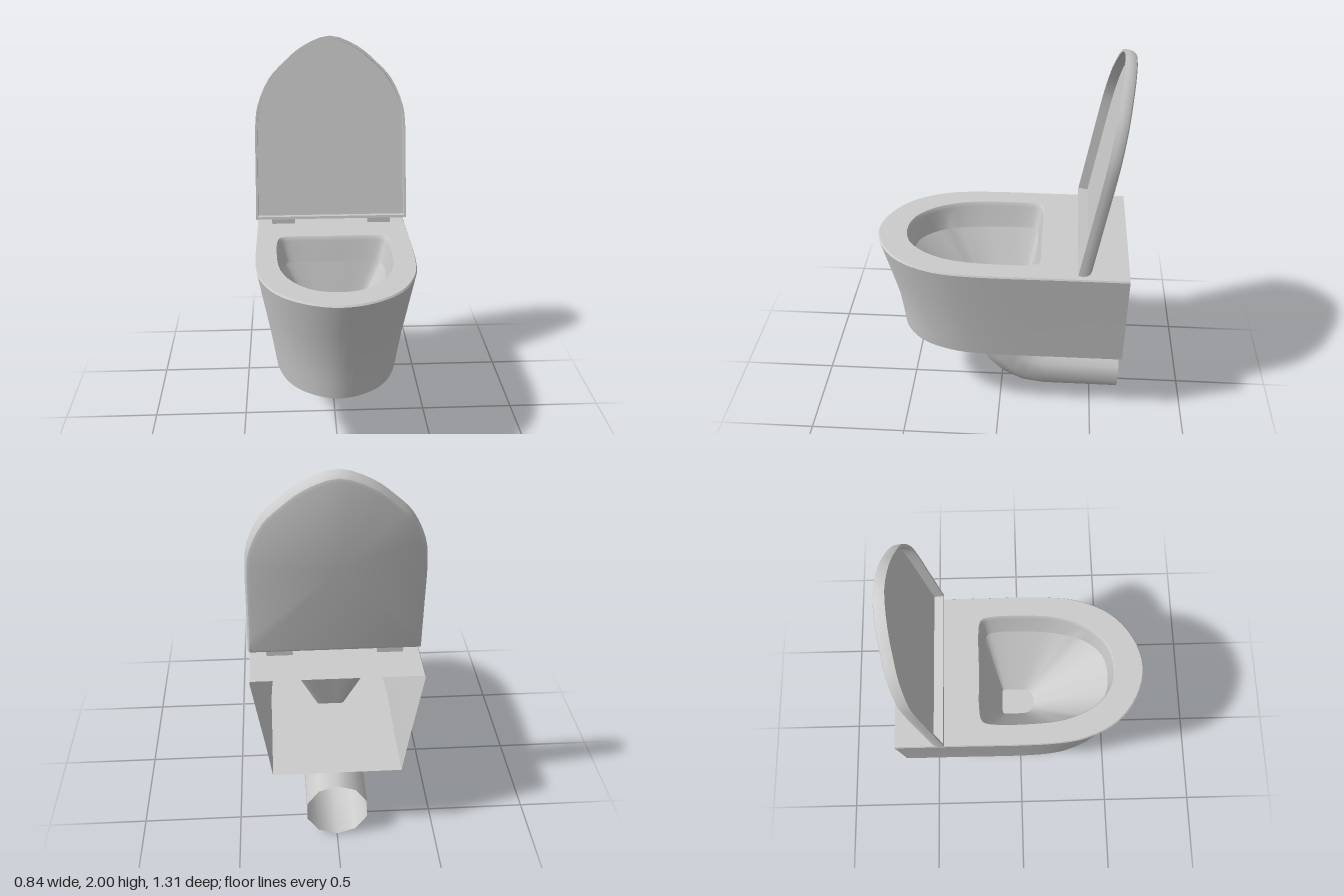
import * as THREE from 'three';
import { toCreasedNormals } from 'three/addons/utils/BufferGeometryUtils.js';

const material = new THREE.MeshStandardMaterial({ color: 0xcccccc, side: THREE.DoubleSide });
const BACK = -0.652;

function part(name, geometry) {
  const mesh = new THREE.Mesh(geometry, material);
  mesh.name = name;
  return mesh;
}

// Skin over rings of equal point count; closed rings wrap around
function loft(rings, closed, crease = 0.6) {
  const n = rings[0].length, index = [];
  const steps = closed ? n : n - 1;
  for (let i = 0; i < rings.length - 1; i++) {
    for (let j = 0; j < steps; j++) {
      const k = (j + 1) % n, a = i * n, b = a + n;
      index.push(a + j, a + k, b + k, a + j, b + k, b + j);
    }
  }
  const geometry = new THREE.BufferGeometry();
  geometry.setAttribute('position', new THREE.Float32BufferAttribute(rings.flat(2), 3));
  geometry.setIndex(index);
  return toCreasedNormals(geometry, crease);
}

// Mirrors a half outline that ends on the centre line and smooths it
function outline(half, closed) {
  const mirrored = half.slice(closed ? 1 : 0, -1).reverse().map(([x, y]) => [-x, y]);
  const points = [...half, ...mirrored].map(([x, y]) => new THREE.Vector3(x, y, 0));
  const curve = new THREE.CatmullRomCurve3(points, closed, 'centripetal');
  const pts = curve.getPoints((closed ? points.length : points.length - 1) * 3).map(p => [p.x, p.y]);
  if (closed) pts.pop();
  return pts;
}

const atHeight = (pts, y) => pts.map(([x, z]) => [x, y, z]);
const scaled = (pts, s, cy) => pts.map(([x, y]) => [x * s, cy + (y - cy) * s]);

function flatPlate(pts, y, hole) {
  const toVectors = list => list.map(([x, z]) => new THREE.Vector2(x, -z));
  const shape = new THREE.Shape(toVectors(pts));
  if (hole) shape.holes.push(new THREE.Path(toVectors(hole)));
  return new THREE.ShapeGeometry(shape).rotateX(-Math.PI / 2).translate(0, y, 0);
}

export function createModel() {
  const model = new THREE.Group();
  model.name = 'wallHungToilet';

  // Outer shell, open towards the wall
  const plan = outline([[0.415, BACK], [0.415, -0.3], [0.415, 0.09], [0.402, 0.26], [0.38, 0.35],
    [0.325, 0.47], [0.245, 0.56], [0.125, 0.63], [0, 0.655]], false);
  const section = (halfWidth, front) => plan.map(([x, z]) =>
    [x * halfWidth / 0.415, BACK + (z - BACK) * (front - BACK) / (0.655 - BACK)]);
  const levels = [[0.98, 0.41, 0.647], [0.972, 0.414, 0.655], [0.88, 0.398, 0.63], [0.78, 0.381, 0.602],
    [0.62, 0.353, 0.562], [0.5, 0.334, 0.546], [0.412, 0.32, 0.536]];
  model.add(part('shell', loft(levels.map(([y, w, f]) => atHeight(section(w, f), y)), false)));
  model.add(part('floor', flatPlate(section(0.32, 0.536), 0.412)));

  // Rim deck with the bowl opening
  const opening = outline([[0, -0.215], [0.24, -0.215], [0.285, -0.2], [0.3, -0.16], [0.305, 0.02],
    [0.285, 0.23], [0.22, 0.38], [0.12, 0.475], [0, 0.503]], true);
  const throat = outline([[0, -0.185], [0.2, -0.185], [0.25, -0.175], [0.267, -0.13], [0.27, 0.02],
    [0.255, 0.19], [0.21, 0.35], [0.12, 0.45], [0, 0.475]], true);
  const drain = outline([[0, -0.1], [0.06, -0.1], [0.07, -0.095], [0.073, -0.08], [0.073, 0],
    [0.068, 0.04], [0.05, 0.065], [0.025, 0.078], [0, 0.08]], true);
  model.add(part('rim', flatPlate(section(0.41, 0.647), 0.98, opening)));

  // Bowl: rounded lip, straight throat, small undercut, funnel, bottom
  model.add(part('bowl', loft([
    atHeight(scaled(drain, 0, 0), 0.43),
    atHeight(drain, 0.43),
    atHeight(scaled(throat, 1.04, 0.14), 0.835),
    atHeight(throat, 0.84),
    atHeight(scaled(opening, 0.975, 0.14), 0.955),
    atHeight(scaled(opening, 0.985, 0.14), 0.972),
    atHeight(opening, 0.98),
  ], true)));

  // Ten-sided drain pipe: quarter bend, then straight back to the wall
  const ring = (angle, z, y) => Array.from({ length: 10 }, (_, i) => {
    const t = i / 10 * Math.PI * 2, out = 0.16 * Math.cos(t);
    return [-0.16 * Math.sin(t), y - out * Math.sin(angle), z + out * Math.cos(angle)];
  });
  const pipe = [];
  for (let i = 0; i <= 5; i++) {
    const a = i / 5 * Math.PI / 2;
    pipe.push(ring(a, -0.24 + 0.25 * Math.cos(a), 0.412 - 0.25 * Math.sin(a)));
  }
  pipe.push(ring(Math.PI / 2, BACK, 0.162));
  model.add(part('drainPipe', loft(pipe, true, 0.8)));

  // Raised lid: rounded back, thin border, recessed inner face
  const lidPlan = outline([[0.422, 0], [0.418, 0.3], [0.414, 0.52], [0.4, 0.63], [0.335, 0.777],
    [0.255, 0.864], [0.15, 0.95], [0, 1.005]], false);
  const lidRings = [[0, -0.065], [0.94, -0.063], [0.975, -0.056], [0.993, -0.042], [1, -0.02],
    [1, 0], [0.972, 0], [0.972, -0.05], [0, -0.05]];
  const lid = part('lid', loft(lidRings.map(([s, z]) =>
    scaled(lidPlan, s, 0.5).map(([x, y]) => [x, y, z])), true));
  lid.position.set(0, 1.011, -0.397);
  lid.rotation.x = -0.18;
  model.add(lid);

  // Hinge blocks between rim and lid
  for (const side of [1, -1]) {
    const hinge = part(side > 0 ? 'leftHinge' : 'rightHinge', new THREE.BoxGeometry(0.128, 0.045, 0.03));
    hinge.position.set(side * 0.269, 0.99, -0.425);
    model.add(hinge);
  }
  return model;
}
